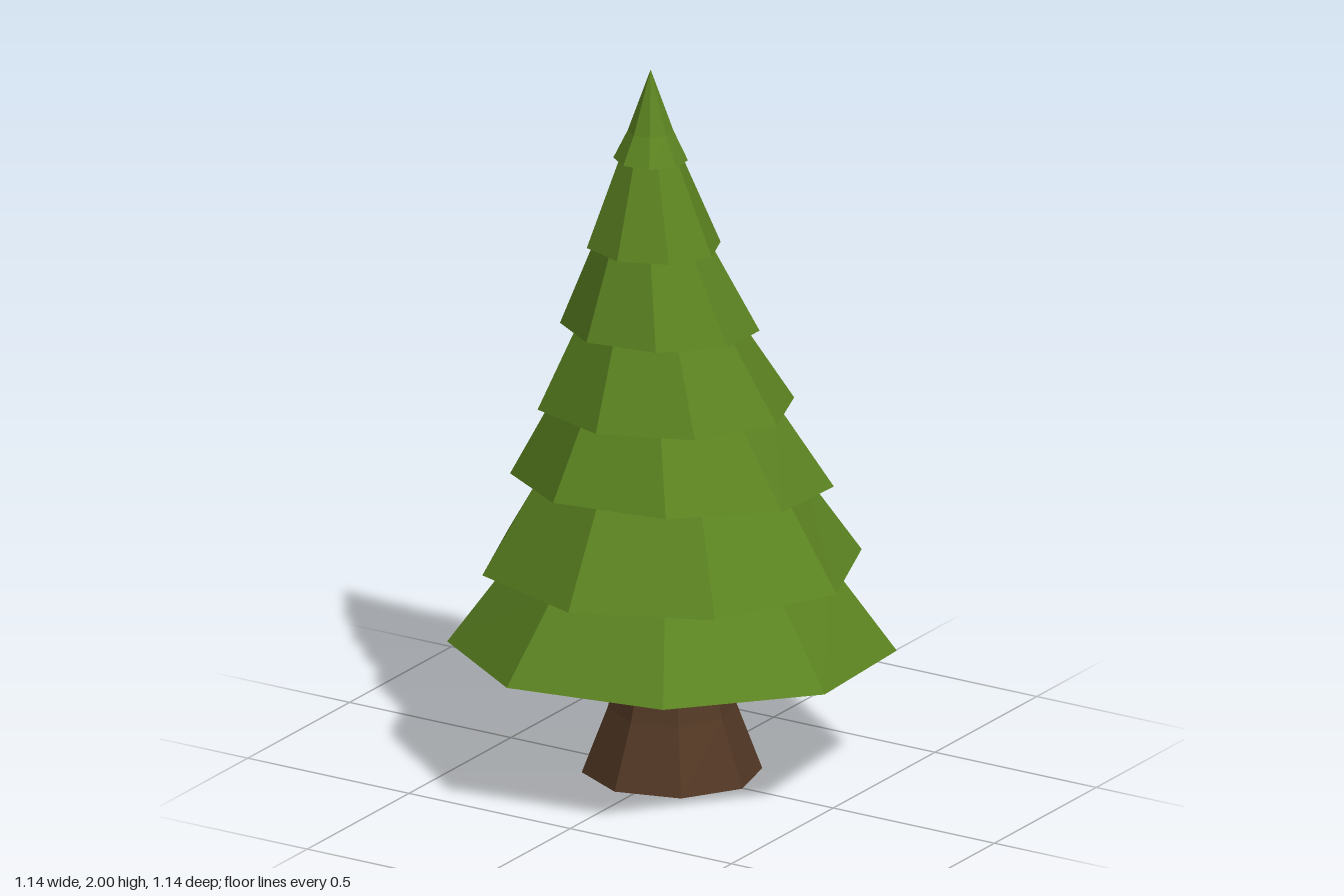
import * as THREE from 'three';

const SIDES = 8;

// One octagonal ring: radius r, centre height y, centre z, tilts along x and z, turn in degrees
function ring({ r, y, z = 0, tiltX = 0, tiltZ = 0 }, turn) {
  return Array.from({ length: SIDES }, (_, i) => {
    const a = THREE.MathUtils.degToRad(turn) + (i / SIDES) * Math.PI * 2;
    const dx = r * Math.cos(a), dz = r * Math.sin(a);
    return [dx, y + tiltX * dx + tiltZ * dz, z + dz];
  });
}

// Joins rings from bottom to top, closed with a cap at both ends
function loft(name, sections, turn, material) {
  const rings = sections.map((s) => ring(s, turn));
  const first = sections[0], last = sections[sections.length - 1];
  const bottom = [0, first.y, first.z ?? 0], top = [0, last.y, last.z ?? 0];
  const pos = [];
  const tri = (...corners) => corners.forEach((c) => pos.push(...c));
  for (let i = 0; i < SIDES; i++) {
    const j = (i + 1) % SIDES;
    tri(bottom, rings[0][i], rings[0][j]);
    for (let k = 0; k < rings.length - 1; k++) {
      const lo = rings[k], hi = rings[k + 1];
      tri(lo[i], hi[i], lo[j]);
      if (sections[k + 1].r > 0) tri(lo[j], hi[i], hi[j]);
    }
    if (last.r > 0) tri(top, rings.at(-1)[j], rings.at(-1)[i]);
  }
  const geometry = new THREE.BufferGeometry();
  geometry.setAttribute('position', new THREE.Float32BufferAttribute(pos, 3));
  geometry.computeVertexNormals();
  const mesh = new THREE.Mesh(geometry, material);
  mesh.name = name;
  return mesh;
}

export function createModel() {
  const tree = new THREE.Group();
  tree.name = 'pineTree';
  const bark = new THREE.MeshStandardMaterial({ color: 0x523824, flatShading: true });
  const needles = new THREE.MeshStandardMaterial({ color: 0x5c8421, flatShading: true });

  // Flared trunk, running up into the lowest branches
  tree.add(loft('trunk', [
    { r: 0.238, y: 0.009, tiltX: 0.01, tiltZ: 0.033 },
    { r: 0.17, y: 0.19 },
    { r: 0.115, y: 0.4 },
    { r: 0.105, y: 0.45 },
  ], 7, bark));

  // Rims of the branch tiers; neck is the radius where the tier above begins
  const tiers = [
    { r: 0.59, neck: 0.42, y: 0.356, z: 0, tiltX: 0.026, tiltZ: 0.06 },
    { r: 0.51, neck: 0.365, y: 0.59, z: 0, tiltX: 0.022, tiltZ: 0.035 },
    { r: 0.425, neck: 0.3, y: 0.82, z: 0, tiltX: 0.03, tiltZ: 0.11 },
    { r: 0.345, neck: 0.228, y: 1.043, z: 0.03, tiltX: 0.02, tiltZ: 0.065 },
    { r: 0.262, neck: 0.16, y: 1.267, z: 0.06, tiltX: 0.02, tiltZ: 0.09 },
    { r: 0.18, neck: 0.09, y: 1.505, z: 0.09, tiltX: 0.01, tiltZ: 0.055 },
    { r: 0.098, y: 1.75, z: 0.105, tiltX: 0, tiltZ: 0.05 },
  ];

  // Each tier narrows to just inside the next; the last one ends in a point
  tiers.forEach((tier, i) => {
    const next = tiers[i + 1];
    const upper = next
      ? [{ ...next, r: tier.neck - 0.01, y: next.y + 0.015, z: next.z + (i < 5 ? 0.005 : 0) }]
      : [{ r: 0.06, y: 1.83, z: 0.105 }, { r: 0, y: 2, z: 0.105 }];
    tree.add(loft(`branchTier${i + 1}`, [tier, ...upper], i % 2 ? 0 : 15, needles));
  });

  return tree;
}
